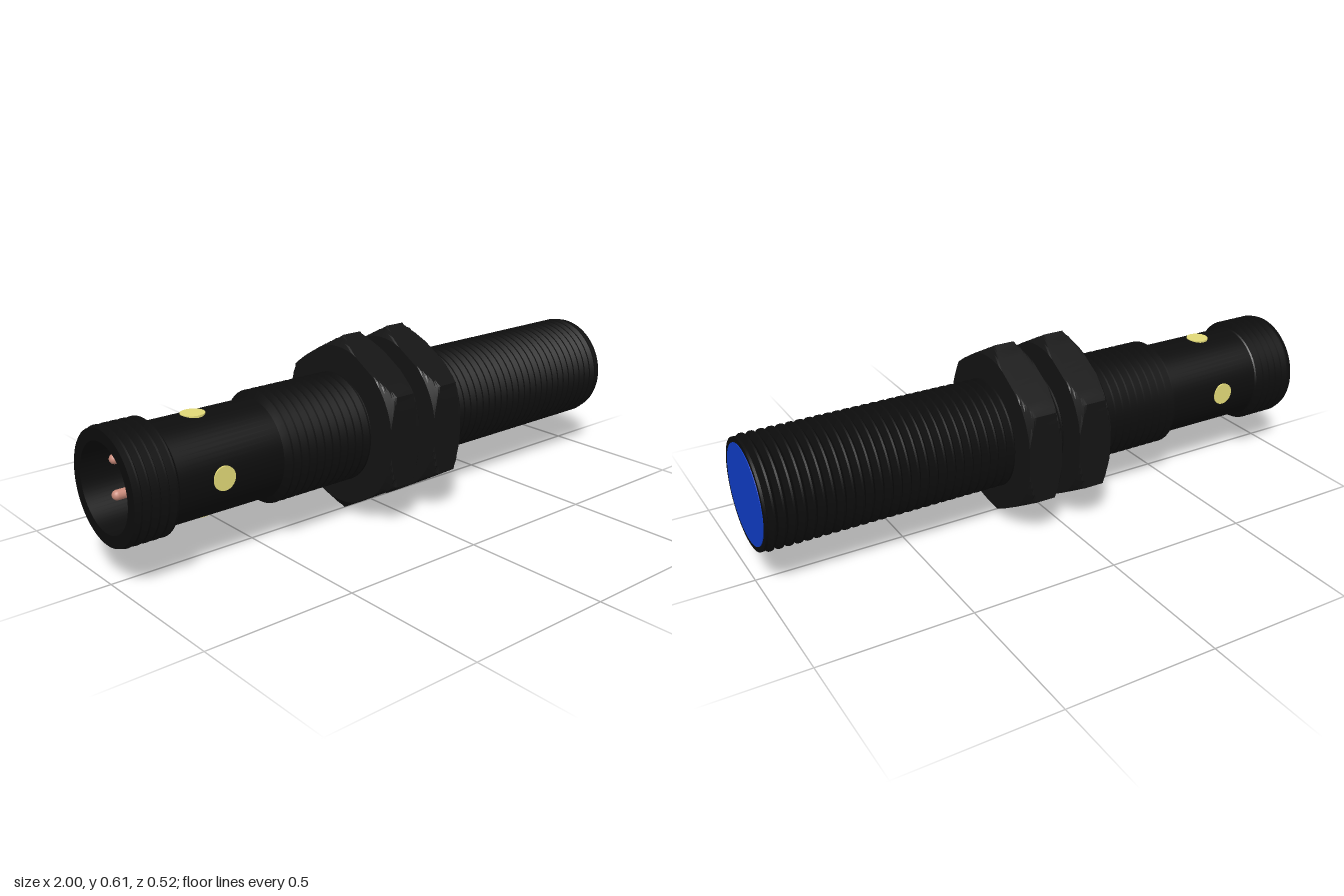
import * as THREE from 'three';
import { toCreasedNormals } from 'three/addons/utils/BufferGeometryUtils.js';

const material = (color) => new THREE.MeshStandardMaterial({ color });
const black = material(0x0d0d0d);
const charcoal = material(0x141414);
const blue = material(0x1040d0);
const yellow = material(0xe2d978);
const copper = material(0xc98a7a);

const ROOT = 0.163, CREST = 0.183, BARREL = 0.16, AXIS_Y = 0.302;

// Saw-tooth outline of a threaded length, as [radius, position] pairs
function thread(from, to, teeth) {
  const pitch = (to - from) / teeth;
  const points = [];
  for (let i = 0; i < teeth; i++) {
    const start = from + i * pitch;
    points.push([ROOT, start], [CREST, start + pitch * 0.4], [CREST, start + pitch * 0.6]);
  }
  points.push([ROOT, to]);
  return points;
}

function lathe(outline, segments) {
  return new THREE.LatheGeometry(outline.map(([r, y]) => new THREE.Vector2(r, y)), segments);
}

// Hexagon nut with conical corner chamfers
function nutGeometry(width) {
  const half = width / 2, apothem = 0.262, chamfer = 0.025;
  const lower = [[BARREL, -half]];
  for (let i = 0; i <= 5; i++) {
    lower.push([0.268 + 0.035 * i / 5, -half + chamfer * i / 5]);
  }
  const upper = lower.map(([r, y]) => [r, -y]).reverse();
  const geometry = lathe([...lower, ...upper], 72);
  const pos = geometry.attributes.position;
  const sector = Math.PI / 3;
  for (let i = 0; i < pos.count; i++) {
    const x = pos.getX(i), z = pos.getZ(i);
    const r = Math.hypot(x, z);
    const turn = Math.atan2(z, x) + 2 * Math.PI + 1e-6;
    const limit = apothem / Math.cos((turn % sector) - sector / 2);
    const scale = Math.min(r, limit) / r;
    pos.setX(i, x * scale);
    pos.setZ(i, z * scale);
  }
  return toCreasedNormals(geometry, 0.25);
}

export function createModel() {
  const model = new THREE.Group();
  model.name = 'threadedSensor';

  // Everything is built along y, then laid along x
  const sensor = new THREE.Group();
  sensor.name = 'sensor';
  sensor.rotation.z = -Math.PI / 2;
  sensor.position.y = AXIS_Y;
  model.add(sensor);

  const add = (name, geometry, mat, parent = sensor) => {
    const mesh = new THREE.Mesh(geometry, mat);
    mesh.name = name;
    parent.add(mesh);
    return mesh;
  };

  // Barrel with rear plug socket and both threads
  const outline = [
    [0, -0.75], [0.14, -0.75], [0.14, -1], [0.178, -1],
    ...thread(-0.995, -0.85, 5),
    [BARREL, -0.845], [BARREL, -0.48],
    ...thread(-0.478, 0.985, 48),
    [0.178, 0.99], [0.178, 0.998], [0, 0.998],
  ];
  add('barrel', toCreasedNormals(lathe(outline, 64), 0.4), black);

  // Sensing face
  const face = add('sensingFace', new THREE.CylinderGeometry(0.161, 0.161, 0.02, 64), blue);
  face.position.y = 0.99;

  // Two lock nuts
  for (const y of [-0.08, 0.107]) {
    add('lockNut', nutGeometry(0.12), charcoal).position.y = y;
  }

  // Indicator lights and socket pins, four of each
  for (let i = 0; i < 4; i++) {
    const spoke = new THREE.Group();
    spoke.name = 'indicator';
    spoke.rotation.y = i * Math.PI / 2;
    sensor.add(spoke);
    const light = add('indicatorLight', new THREE.CylinderGeometry(0.038, 0.038, 0.02, 32), yellow, spoke);
    light.rotation.x = Math.PI / 2;
    light.position.set(0, -0.695, 0.152);

    const angle = (i + 0.5) * Math.PI / 2;
    const pin = add('socketPin', new THREE.CapsuleGeometry(0.016, 0.17, 6, 16), copper);
    pin.position.set(0.08 * Math.cos(angle), -0.845, 0.08 * Math.sin(angle));
  }

  return model;
}
